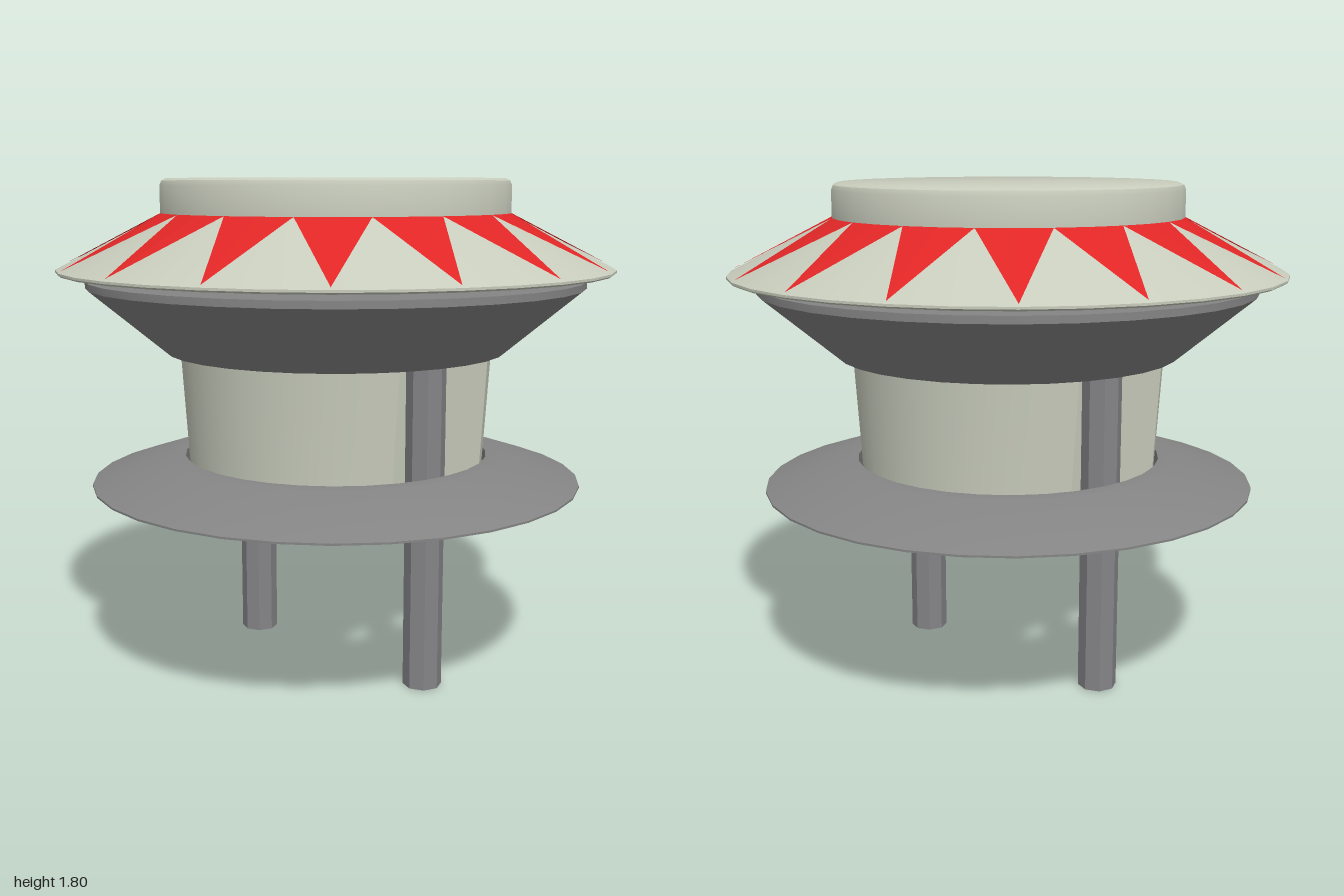
import * as THREE from 'three';
import { toCreasedNormals } from 'three/addons/utils/BufferGeometryUtils.js';

const TURN = -0.04; // slight turn of all round parts about y
const SEGMENTS = 32;

const paint = (color, extra = {}) => {
  const m = new THREE.MeshStandardMaterial({ color, ...extra });
  return m;
};

function add(group, name, geometry, material) {
  const mesh = new THREE.Mesh(geometry, material);
  mesh.name = name;
  group.add(mesh);
  return mesh;
}

// Turned solid from a profile of [radius, y], running bottom, outside, top
function turned(profile) {
  const points = profile.map(([r, y]) => new THREE.Vector2(r, y));
  return toCreasedNormals(new THREE.LatheGeometry(points, SEGMENTS, TURN, Math.PI * 2), 0.5);
}

// Outline of the body: two arcs joined by a tapered pocket round each leg
function bodyOutline(r) {
  const half = 0.24, inner = 0.17, back = 0.36, steps = 14;
  const a = Math.asin(half / r);
  const pts = [];
  for (const side of [0, Math.PI]) {
    for (let i = 0; i <= steps; i++) {
      const t = side + a + (Math.PI - 2 * a) * (i / steps);
      pts.push([r * Math.cos(t), r * Math.sin(t)]);
    }
    const s = side === 0 ? -1 : 1;
    pts.push([s * back, -s * inner], [s * back, s * inner]);
  }
  return pts;
}

function bodyGeometry() {
  const levels = [[0.535, 0.63], [0.57, 1.2]];
  const rings = levels.map(([r]) => bodyOutline(r));
  const n = rings[0].length;
  const position = [], index = [];
  rings.forEach((ring, k) => ring.forEach(([x, z]) => position.push(x, levels[k][1], z)));
  for (let i = 0; i < n; i++) {
    const j = (i + 1) % n;
    index.push(i, n + i, j, j, n + i, n + j);
  }
  const g = new THREE.BufferGeometry();
  g.setAttribute('position', new THREE.Float32BufferAttribute(position, 3));
  g.setIndex(index);
  return toCreasedNormals(g, 0.5);
}

// Sixteen pointed rays lying just above the sloping cap
function raysGeometry() {
  const count = 16, step = Math.PI / count, lift = 0.004;
  const position = [];
  const put = (r, y, phi) => position.push(r * Math.sin(phi), y + lift, r * Math.cos(phi));
  for (let i = 0; i < count; i++) {
    const phi = TURN + i * 2 * step;
    for (const start of [phi - step, phi]) {
      put(0.63, 1.68, start);
      put(0.993, 1.4935, phi);
      put(0.63, 1.68, start + step);
    }
  }
  const g = new THREE.BufferGeometry();
  g.setAttribute('position', new THREE.Float32BufferAttribute(position, 3));
  g.computeVertexNormals();
  return g;
}

export function createModel() {
  const model = new THREE.Group();
  model.name = 'bumper';

  const pale = paint(0xc8ccbc);
  const paleOpen = paint(0xc8ccbc, { side: THREE.DoubleSide });
  const grey = paint(0x858585);
  const greyFlat = paint(0x858588, { flatShading: true });
  const red = paint(0xe02626, { side: THREE.DoubleSide });

  // Cap with short neck, thin brim and bevelled crown
  add(model, 'cap', turned([
    [0, 1.45], [0.63, 1.45], [0.63, 1.48], [0.99, 1.476], [1, 1.482], [1, 1.49],
    [0.63, 1.68], [0.63, 1.78], [0.623, 1.797], [0.606, 1.805], [0, 1.805],
  ]), pale);
  add(model, 'capRays', raysGeometry(), red);

  // Upper skirt, flaring upward
  add(model, 'upperSkirt', turned([
    [0.56, 1.19], [0.62, 1.19], [0.9, 1.425], [0.9, 1.45], [0.56, 1.45], [0.56, 1.19],
  ]), grey);

  // Lower ring, sloping outward and down
  add(model, 'lowerRing', turned([
    [0.56, 0.705], [0.9, 0.705], [0.9, 0.712], [0.62, 0.805], [0.56, 0.805], [0.56, 0.705],
  ]), grey);

  // Hollow body, open below
  add(model, 'body', bodyGeometry(), paleOpen);

  // Octagonal legs standing in the pockets
  for (const side of [-1, 1]) {
    const leg = new THREE.CylinderGeometry(0.07, 0.07, 1.3, 8);
    add(model, side > 0 ? 'leftLeg' : 'rightLeg', leg, greyFlat).position.set(side * 0.432, 0.65, 0);
  }

  return model;
}
